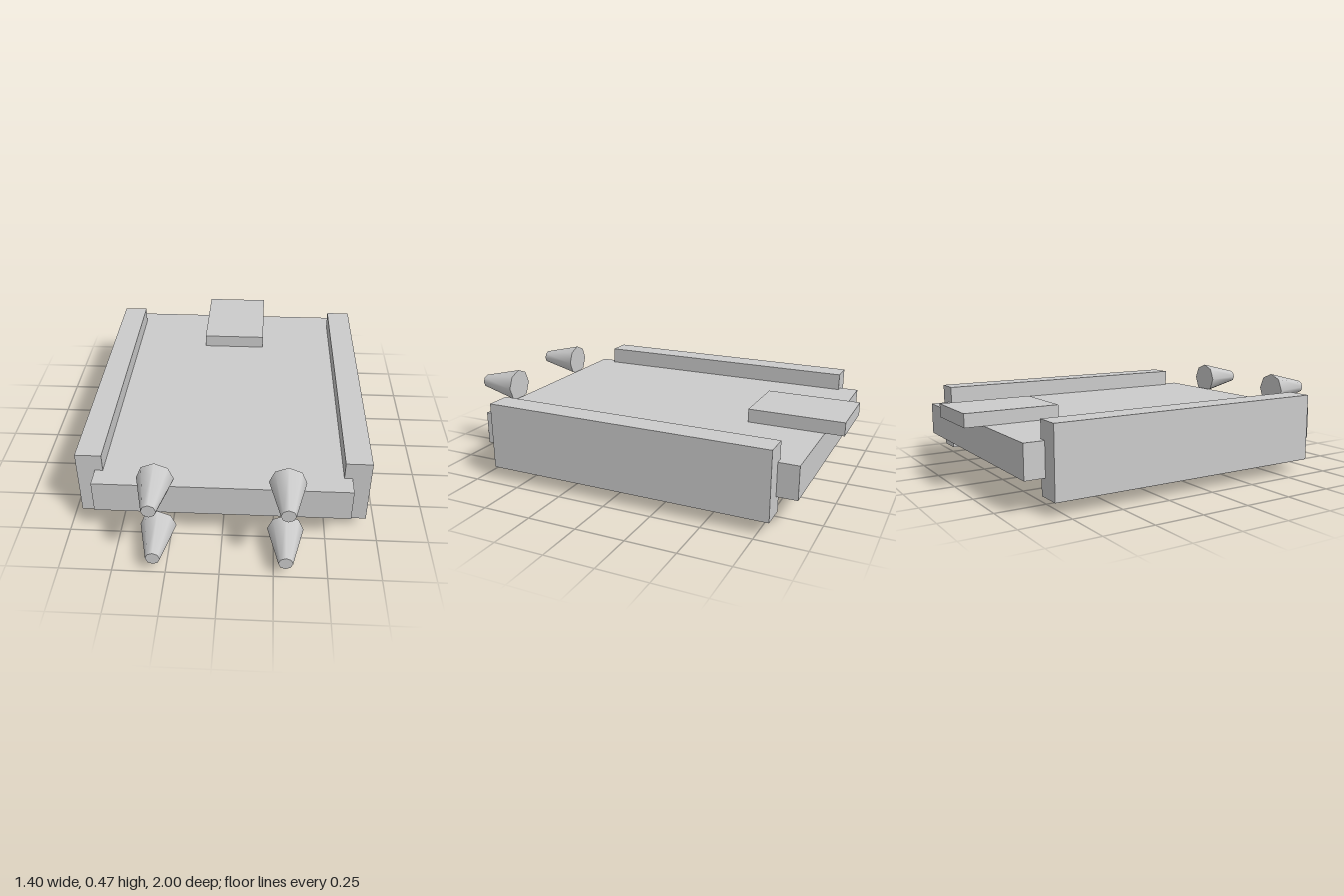
import * as THREE from 'three';

export function createModel() {
  const group = new THREE.Group();
  const grey = new THREE.MeshStandardMaterial({ color: 0xcccccc });

  function add(name, geometry, x, y, z) {
    const mesh = new THREE.Mesh(geometry, grey);
    mesh.name = name;
    mesh.position.set(x, y, z);
    group.add(mesh);
  }

  // Box given by its lower and upper limits on each axis
  function addBox(name, [x0, x1], [y0, y1], [z0, z1]) {
    add(name, new THREE.BoxGeometry(x1 - x0, y1 - y0, z1 - z0),
      (x0 + x1) / 2, (y0 + y1) / 2, (z0 + z1) / 2);
  }

  // Flat main slab and the small plate overhanging its back edge
  addBox('body', [-0.612, 0.612], [0.157, 0.322], [-0.905, 0.765]);
  addBox('rearPlate', [-0.172, 0.172], [0.322, 0.39], [-1, -0.515]);

  // Side rails
  addBox('leftRail', [0.573, 0.7], [0.068, 0.41], [-0.805, 0.667]);
  addBox('rightRail', [-0.7, -0.573], [0.068, 0.41], [-0.805, 0.667]);

  // Four eight-sided tapered nozzles, narrow end forward
  const nozzle = new THREE.CylinderGeometry(0.034, 0.087, 0.22, 8).rotateX(Math.PI / 2);
  for (const [side, x] of [['left', 0.304], ['right', -0.304]]) {
    add(side + 'UpperNozzle', nozzle, x, 0.385, 0.89);
    add(side + 'LowerNozzle', nozzle, x, 0.09, 0.89);
  }

  return group;
}
